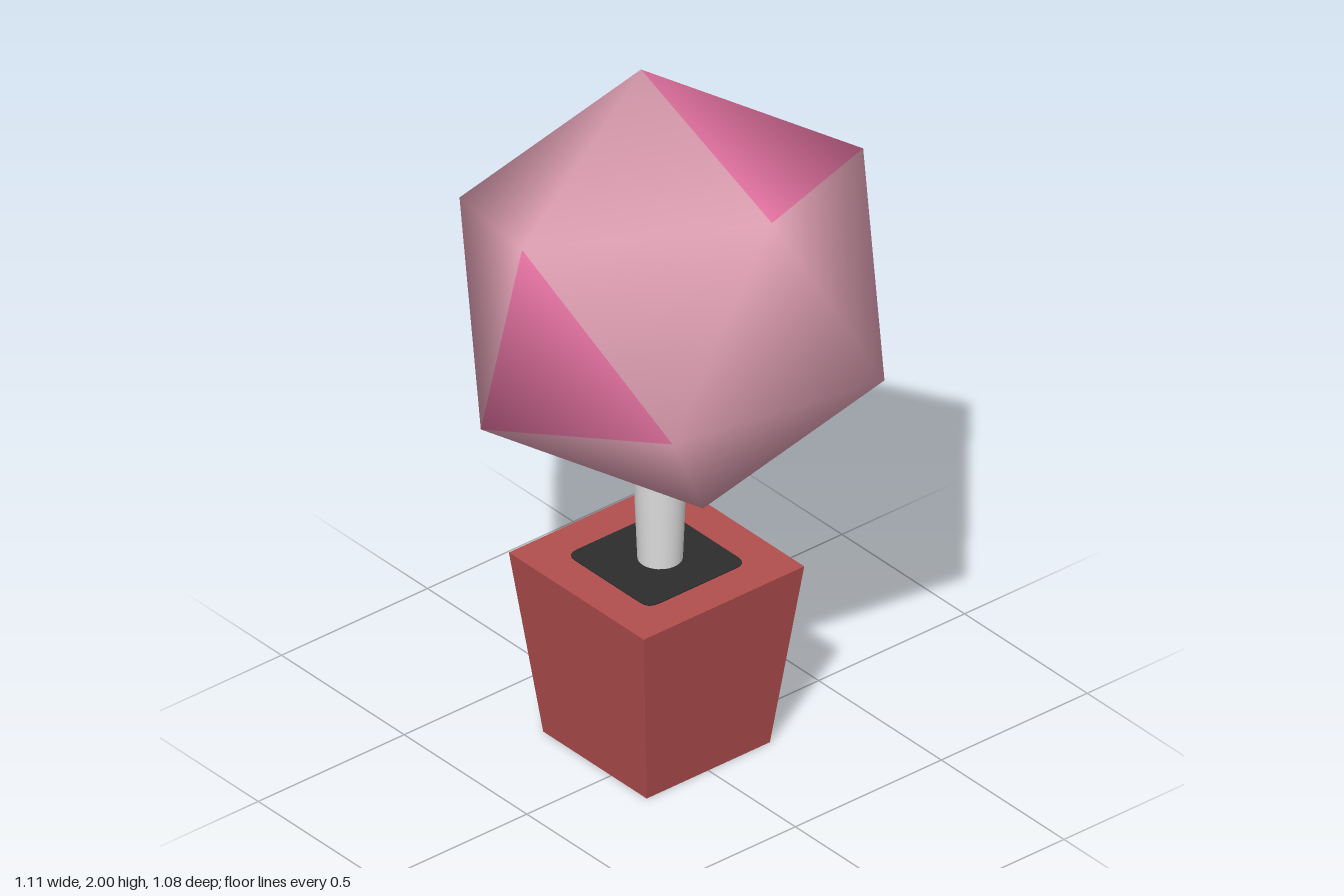
import * as THREE from 'three';

const flat = (name, color) => {
  const m = new THREE.MeshStandardMaterial({ color });
  m.name = name;
  return m;
};

// Twenty-sided crown: six corners plus their opposites, smooth radial normals
function crownGeometry() {
  const centre = new THREE.Vector3(-0.003, 1.432, 0);
  const half = [
    [-0.195, 2.0, -0.055], [0.44, 1.87, 0.03], [-0.56, 1.55, 0.26],
    [0.01, 1.78, 0.525], [0.475, 1.35, 0.4], [-0.14, 1.15, 0.54],
  ].map((p) => new THREE.Vector3(...p).sub(centre));
  const corners = [...half, ...half.map((v) => v.clone().negate())];
  const accents = new Set(['3,4,5', '0,1,11', '6,8,9', '2,7,10']);
  const near = (a, b) => corners[a].distanceTo(corners[b]) < 0.8;
  const plain = [], accent = [];
  // every three neighbouring corners make a face, wound outwards
  for (let a = 0; a < 12; a++) for (let b = a + 1; b < 12; b++) for (let c = b + 1; c < 12; c++) {
    if (!near(a, b) || !near(b, c) || !near(a, c)) continue;
    const outward = corners[a].clone().cross(corners[b]).dot(corners[c]) > 0;
    (accents.has(`${a},${b},${c}`) ? accent : plain).push(...(outward ? [a, b, c] : [a, c, b]));
  }
  const geo = new THREE.BufferGeometry().setFromPoints(corners);
  geo.setIndex([...plain, ...accent]);
  geo.setAttribute('normal', new THREE.Float32BufferAttribute(
    corners.flatMap((v) => v.clone().normalize().toArray()), 3));
  geo.addGroup(0, plain.length, 0);
  geo.addGroup(plain.length, accent.length, 1);
  return geo.translate(centre.x, centre.y, centre.z);
}

// Square block narrowing towards its base
function potGeometry(top, bottom, height) {
  const geo = new THREE.BoxGeometry(1, height, 1).translate(0, height / 2, 0);
  const p = geo.attributes.position;
  for (let i = 0; i < p.count; i++) {
    const w = p.getY(i) > height / 2 ? top : bottom;
    p.setX(i, p.getX(i) * w);
    p.setZ(i, p.getZ(i) * w);
  }
  geo.computeVertexNormals();
  return geo;
}

// Thin square with softened corners, lying flat
function soilGeometry(h, r) {
  const s = new THREE.Shape();
  s.moveTo(-h + r, -h);
  s.lineTo(h - r, -h);
  s.quadraticCurveTo(h, -h, h, -h + r);
  s.lineTo(h, h - r);
  s.quadraticCurveTo(h, h, h - r, h);
  s.lineTo(-h + r, h);
  s.quadraticCurveTo(-h, h, -h, h - r);
  s.lineTo(-h, -h + r);
  s.quadraticCurveTo(-h, -h, -h + r, -h);
  return new THREE.ExtrudeGeometry(s, { depth: 0.003, bevelEnabled: false, curveSegments: 4 })
    .rotateX(-Math.PI / 2);
}

export function createModel() {
  const group = new THREE.Group();
  group.name = 'pottedTree';
  const pink = flat('palePink', 0xe0a0b4);
  const hotPink = flat('brightPink', 0xe673a2);
  const white = flat('trunkWhite', 0xdedede);
  const red = flat('potRed', 0xb24e4e);
  const dark = flat('soilDark', 0x2d2d2d);

  const add = (name, geo, mat, x = 0, y = 0, z = 0) => {
    const mesh = new THREE.Mesh(geo, mat);
    mesh.name = name;
    mesh.position.set(x, y, z);
    group.add(mesh);
  };
  const potX = -0.066;
  add('pot', potGeometry(0.55, 0.422, 0.555), red, potX);
  add('soil', soilGeometry(0.168, 0.035), dark, potX, 0.555);
  // trunk widens upwards into the crown
  add('trunk', new THREE.CylinderGeometry(0.08, 0.06, 0.5, 24), white, potX, 0.8, -0.012);
  add('crown', crownGeometry(), [pink, hotPink]);
  return group;
}
